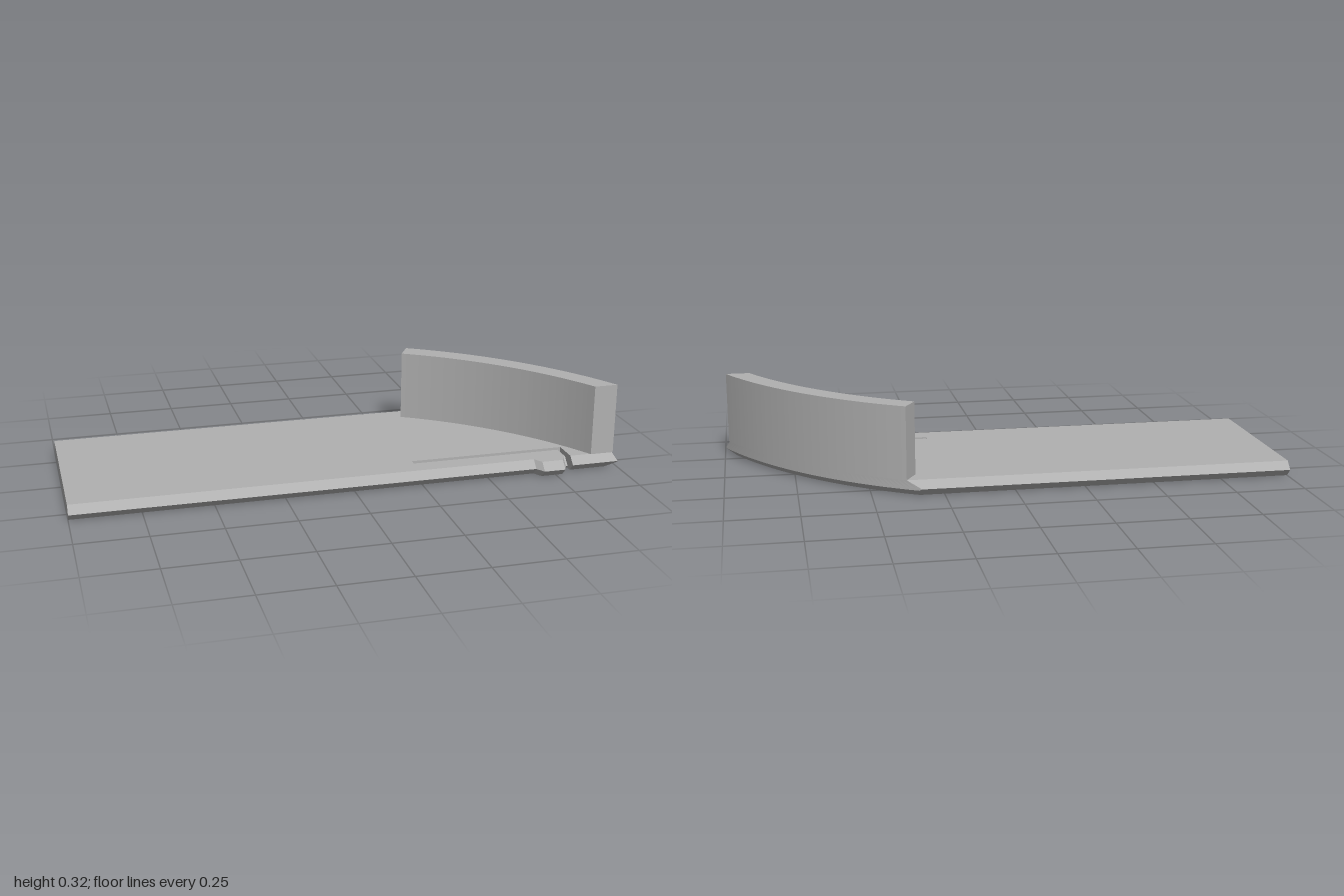
import * as THREE from 'three';

const THICK = 0.055, MID = THICK / 2;
const CX = -0.38, CZ = 0.995, R_OUT = 1.53, R_IN = 1.453; // curved end, seen from above
const SEGMENTS = 48;

// Points [x, z] on an arc of radius r between two angles
function arc(r, a0, a1) {
  return Array.from({ length: SEGMENTS + 1 }, (_, i) => {
    const a = a0 + (a1 - a0) * i / SEGMENTS;
    return [CX + r * Math.sin(a), CZ - r * Math.cos(a)];
  });
}
const angleAtZ = (r, z) => Math.acos((CZ - z) / r);

// Plate outline at height y: V-edged front and back, undercut curved end, latch cut-out
function outline(y) {
  const inset = Math.abs(y - MID);
  const back = -0.36 + inset, front = 0.325 - inset;
  const r = R_OUT - Math.max(0, 0.022 - y);
  return [
    [-1, back], ...arc(r, angleAtZ(r, back), angleAtZ(r, front)),
    [0.818, front], [0.818, 0.205], [0.24, 0.205], [0.24, 0.228], [0.797, 0.228], [0.797, front],
    [0.79, front], [0.775, front + 0.032], [0.695, front + 0.032], [0.675, front],
    [-1, front],
  ];
}

// Side walls through matching outlines at several heights
function loft(loops, heights) {
  const pos = [];
  for (let k = 0; k + 1 < loops.length; k++) {
    const n = loops[k].length;
    const at = (level, i) => [loops[level][i % n][0], heights[level], loops[level][i % n][1]];
    for (let i = 0; i < n; i++) {
      const a = at(k, i), b = at(k, i + 1), c = at(k + 1, i), d = at(k + 1, i + 1);
      pos.push(...a, ...c, ...b, ...b, ...c, ...d);
    }
  }
  const g = new THREE.BufferGeometry();
  g.setAttribute('position', new THREE.Float32BufferAttribute(pos, 3));
  g.computeVertexNormals();
  return g;
}

// Flat face at height y, facing up (1) or down (-1)
function cap(loop, y, facing, holes = []) {
  const pts = (l) => l.map(([x, z]) => new THREE.Vector2(x, -facing * z));
  const shape = new THREE.Shape(pts(loop));
  holes.forEach((h) => shape.holes.push(new THREE.Path(pts(h))));
  return new THREE.ShapeGeometry(shape).rotateX(-facing * Math.PI / 2).translate(0, y, 0);
}

export function createModel() {
  const grey = new THREE.MeshStandardMaterial({ color: 0xb0b0b0 });
  grey.name = 'grey plastic';
  const model = new THREE.Group();
  model.name = 'slidingLid';
  const add = (parent, name, geometry) => {
    const mesh = new THREE.Mesh(geometry, grey);
    mesh.name = name;
    parent.add(mesh);
  };

  // Finger grooves in the underside
  const depth = 0.02;
  const grooves = [0.105, 0.178, 0.25, 0.323].map((x) => [
    [x - 0.015, -0.14], [x + 0.015, -0.14], [x + 0.015, 0.1], [x - 0.015, 0.1],
  ]);

  // Plate with its springy latch
  const plate = new THREE.Group();
  plate.name = 'plate';
  model.add(plate);
  const heights = [0, 0.022, MID, THICK];
  const loops = heights.map(outline);
  add(plate, 'plateEdges', loft(loops, heights));
  add(plate, 'plateTop', cap(loops[3], THICK, 1));
  add(plate, 'plateUnderside', cap(loops[0], 0, -1, grooves));
  grooves.forEach((g) => {
    const inward = [...g].reverse();
    add(plate, 'grooveWalls', loft([inward, inward], [0, depth]));
    add(plate, 'grooveFloor', cap(g, depth, -1));
  });

  // Curved upright wall along the rounded end
  const wall = new THREE.Group();
  wall.name = 'curvedWall';
  model.add(wall);
  const start = angleAtZ(R_OUT, -0.3325), end = 0.302, top = 0.316;
  const ring = [
    ...arc(R_OUT, start, angleAtZ(R_OUT, end)),
    ...arc(R_IN, angleAtZ(R_IN, end), start),
  ];
  add(wall, 'wallSides', loft([ring, ring], [THICK, top]));
  add(wall, 'wallTop', cap(ring, top, 1));

  return model;
}
